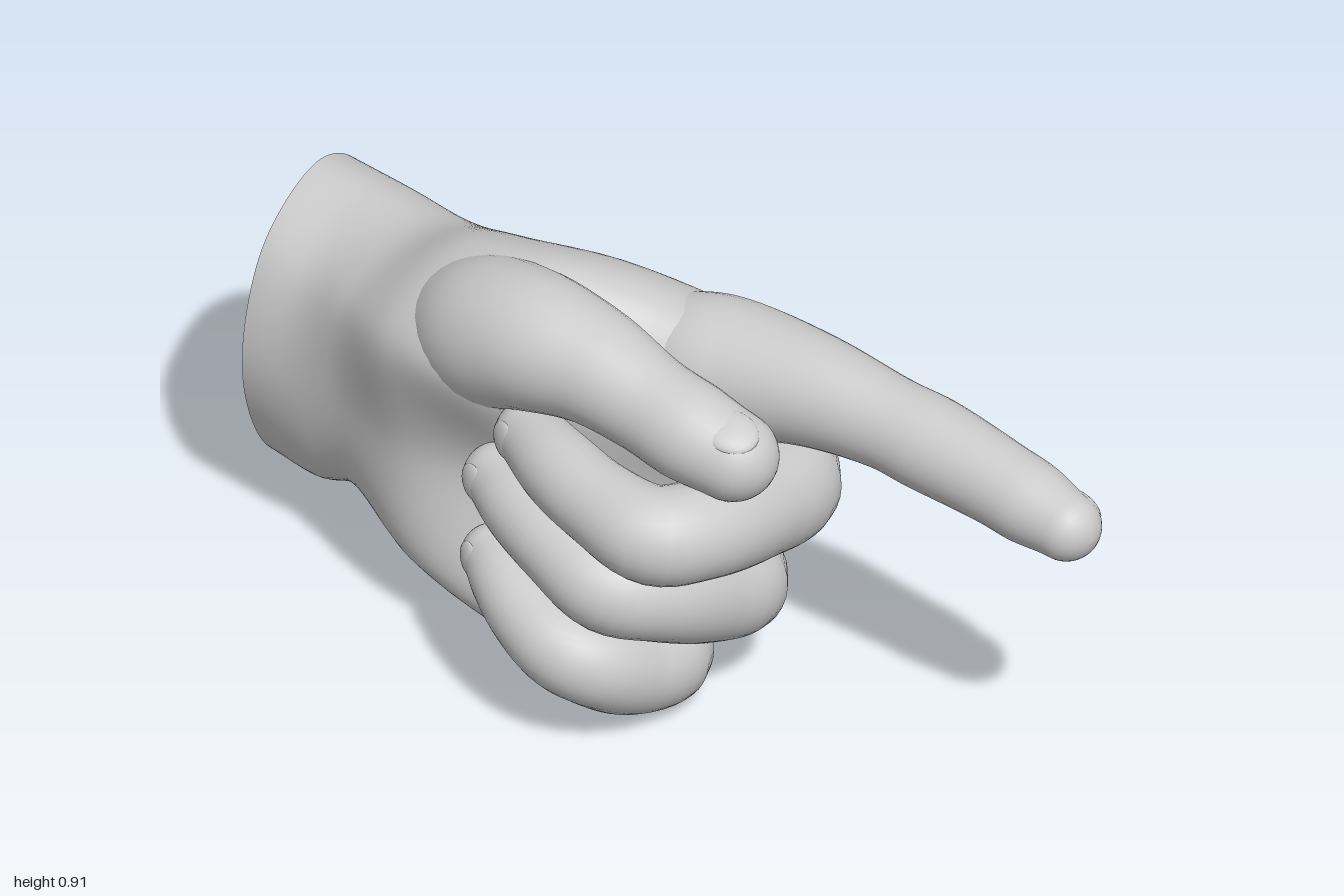
import * as THREE from 'three';

const V = (x, y, z) => new THREE.Vector3(x, y, z);
const skin = new THREE.MeshStandardMaterial({ color: 0xcccccc, roughness: 0.8 });

function part(name, geometry) {
  const mesh = new THREE.Mesh(geometry, skin);
  mesh.name = name;
  return mesh;
}

// Skin over a list of closed rings with equal point counts
function loft(rings) {
  const n = rings[0].length, pos = [], idx = [];
  rings.forEach(ring => ring.forEach(p => pos.push(p.x, p.y, p.z)));
  for (let i = 0; i < rings.length - 1; i++) {
    for (let j = 0; j < n; j++) {
      const a = i * n + j, b = i * n + (j + 1) % n;
      idx.push(a, b, a + n, b, b + n, a + n);
    }
  }
  const g = new THREE.BufferGeometry();
  g.setAttribute('position', new THREE.Float32BufferAttribute(pos, 3));
  g.setIndex(idx);
  g.computeVertexNormals();
  return g;
}

const centroid = ring => ring.reduce((s, p) => s.add(p), V(0, 0, 0)).divideScalar(ring.length);

// Finger: round tube through [x, y, z, radius] joints, domed at both ends
function finger(name, joints, nailNormal) {
  const curve = new THREE.CatmullRomCurve3(joints.map(j => V(j[0], j[1], j[2])));
  const radii = new THREE.SplineCurve(joints.map((j, i) => new THREE.Vector2(i, j[3])));
  const rings = [], steps = 48, sides = 32, dome = 9;
  const addRing = (t, push, squeeze) => {
    const r = radii.getPoint(t).y, d = curve.getTangent(t);
    const c = curve.getPoint(t).addScaledVector(d, push * r);
    const side = d.clone().cross(V(0, 1, 0)).normalize(), up = side.clone().cross(d);
    const ring = [];
    for (let k = 0; k < sides; k++) {
      const a = k / sides * Math.PI * 2;
      ring.push(c.clone().addScaledVector(up, Math.cos(a) * r * squeeze)
        .addScaledVector(side, Math.sin(a) * r * squeeze));
    }
    rings.push(ring);
  };
  for (let i = dome; i > 0; i--) {
    const a = i / dome * Math.PI / 2;
    addRing(0, -Math.sin(a), Math.cos(a));
  }
  for (let i = 0; i <= steps; i++) addRing(i / steps, 0, 1);
  for (let i = 1; i <= dome; i++) {
    const a = i / dome * Math.PI / 2;
    addRing(1, Math.sin(a), Math.cos(a));
  }
  const group = new THREE.Group();
  group.name = name;
  group.add(part(name + 'Flesh', loft(rings)));

  // Thin nail sunk into the back of the last joint
  const r = joints[joints.length - 1][3], d = curve.getTangent(1);
  const n = V(...nailNormal).addScaledVector(d, -V(...nailNormal).dot(d)).normalize();
  const nail = part(name + 'Nail', new THREE.SphereGeometry(1, 20, 14));
  nail.quaternion.setFromRotationMatrix(new THREE.Matrix4().makeBasis(d, n.clone().cross(d), n));
  nail.position.copy(curve.getPoint(1)).addScaledVector(n, r * 0.82).addScaledVector(d, -r * 0.1);
  nail.scale.set(r * 0.65, r * 0.55, r * 0.21);
  group.add(nail);
  return group;
}

// Hand body cross-sections: x, shear of x by z, then [y, z] points from the
// top over the palm side, bottom and back of the hand
const sections = [
  [-0.935, 0.27, [0.72, 0], [0.63, 0.19], [0.38, 0.265], [0.14, 0.17], [0.08, 0], [0.18, -0.15], [0.42, -0.205], [0.64, -0.14]],
  [-0.78, 0.15, [0.715, -0.02], [0.62, 0.19], [0.38, 0.255], [0.14, 0.17], [0.095, -0.02], [0.17, -0.14], [0.42, -0.185], [0.64, -0.15]],
  [-0.62, 0, [0.73, 0], [0.65, 0.22], [0.42, 0.25], [0.2, 0.195], [0.14, 0.03], [0.22, -0.13], [0.45, -0.19], [0.66, -0.14]],
  [-0.4, 0, [0.835, 0.08], [0.7, 0.295], [0.42, 0.26], [0.15, 0.24], [0.08, 0.08], [0.22, -0.13], [0.48, -0.215], [0.7, -0.15]],
  [-0.2, 0, [0.865, 0.07], [0.7, 0.275], [0.4, 0.16], [0.11, 0.22], [0.025, 0.09], [0.22, -0.145], [0.5, -0.25], [0.74, -0.195]],
  [0, 0, [0.805, -0.06], [0.66, 0.07], [0.36, 0.03], [0.1, 0.17], [0.004, 0.09], [0.22, -0.175], [0.51, -0.285], [0.74, -0.245]],
  [0.1, 0, [0.785, -0.12], [0.63, 0], [0.35, -0.03], [0.1, 0.13], [0.015, 0.08], [0.22, -0.18], [0.5, -0.295], [0.73, -0.265]],
  [0.17, 0, [0.75, -0.15], [0.62, -0.05], [0.4, -0.06], [0.16, 0.07], [0.08, 0.05], [0.25, -0.155], [0.5, -0.26], [0.68, -0.24]],
];

// Raised ridges on the back: from, to, width, height
const ridges = [
  [V(-0.82, 0.22, -0.15), V(-0.78, 0.22, -0.15), 0.1, 0.04], // wrist bone
  [V(-0.4, 0.58, -0.19), V(0.05, 0.68, -0.27), 0.05, 0.007], // tendons
  [V(-0.4, 0.48, -0.21), V(0.05, 0.47, -0.29), 0.05, 0.008],
  [V(-0.4, 0.38, -0.2), V(0.03, 0.26, -0.19), 0.05, 0.008],
];

function bodyRings() {
  const columns = [];
  for (let k = 2; k < 10; k++) {
    columns.push(new THREE.CatmullRomCurve3(sections.map(s =>
      V(s[0] + s[1] * (s[k][1] - 0.03), s[k][0], s[k][1]))));
  }
  const rings = [], steps = 70, sides = 96;
  for (let i = 0; i <= steps; i++) {
    const loop = new THREE.CatmullRomCurve3(columns.map(c => c.getPoint(i / steps)), true);
    const ring = Array.from({ length: sides }, (_, k) => loop.getPoint(k / sides));
    const c = centroid(ring);
    rings.push(ring.map(p => {
      const out = p.clone().sub(c).setX(0).normalize();
      const lift = ridges.reduce((sum, [a, b, w, h]) => {
        const near = new THREE.Line3(a, b).closestPointToPoint(p, true, V(0, 0, 0));
        return sum + h * Math.exp(-near.distanceToSquared(p) / (w * w));
      }, 0);
      return p.clone().addScaledVector(out, lift);
    }));
  }
  // Rounded closing over the knuckle row
  const last = rings[steps], c = centroid(last);
  for (let i = 1; i <= 8; i++) {
    const a = i / 8 * Math.PI / 2;
    rings.push(last.map(p => p.clone().lerp(c, 1 - Math.cos(a)).add(V(0.08 * Math.sin(a), 0, 0))));
  }
  return rings;
}

export function createModel() {
  const hand = new THREE.Group();
  hand.name = 'pointingHand';

  // Wrist, palm and back of the hand, with the flat slanted cut
  const rings = bodyRings(), c = centroid(rings[0]);
  hand.add(part('palmAndWrist', loft(rings)));
  hand.add(part('wristCut', loft([rings[0].map(() => c.clone()), rings[0]])));

  // Thumb lying over the fist, pointing finger, three curled fingers
  hand.add(finger('thumb', [
    [-0.5, 0.6, 0.06, 0.1], [-0.28, 0.71, 0.145, 0.15], [-0.12, 0.765, 0.155, 0.142],
    [0.02, 0.765, 0.13, 0.12], [0.16, 0.735, 0.108, 0.102], [0.27, 0.712, 0.09, 0.102],
    [0.36, 0.688, 0.062, 0.092]], [0.2, 0.9, 0.25]));
  hand.add(finger('indexFinger', [
    [-0.12, 0.67, -0.09, 0.1], [0.03, 0.672, -0.135, 0.135], [0.13, 0.677, -0.172, 0.136],
    [0.3, 0.69, -0.215, 0.114], [0.47, 0.685, -0.25, 0.096], [0.58, 0.675, -0.272, 0.097],
    [0.75, 0.66, -0.294, 0.088], [0.84, 0.648, -0.305, 0.085], [0.93, 0.637, -0.313, 0.071]],
  [0, 0.35, -0.9]));
  hand.add(finger('middleFinger', [
    [-0.06, 0.47, -0.14, 0.1], [0.1, 0.46, -0.185, 0.113], [0.21, 0.45, -0.195, 0.124],
    [0.285, 0.485, -0.05, 0.113], [0.33, 0.525, 0.12, 0.102], [0.3, 0.54, 0.22, 0.101],
    [0.17, 0.56, 0.245, 0.088], [0.04, 0.575, 0.235, 0.082], [-0.09, 0.58, 0.2, 0.07]],
  [-0.2, 0.1, 1]));
  hand.add(finger('ringFinger', [
    [-0.08, 0.28, -0.03, 0.09], [0.06, 0.245, -0.085, 0.105], [0.17, 0.23, -0.11, 0.11],
    [0.21, 0.275, 0.01, 0.107], [0.222, 0.335, 0.14, 0.102], [0.18, 0.37, 0.235, 0.097],
    [0.06, 0.41, 0.255, 0.085], [-0.07, 0.435, 0.24, 0.079], [-0.17, 0.448, 0.215, 0.068]],
  [-0.2, 0.1, 1]));
  hand.add(finger('littleFinger', [
    [-0.08, 0.13, 0.06, 0.09], [0.04, 0.11, 0.04, 0.1], [0.13, 0.105, 0.045, 0.103],
    [0.155, 0.135, 0.16, 0.1], [0.155, 0.185, 0.25, 0.093], [0.11, 0.215, 0.293, 0.089],
    [0.02, 0.25, 0.3, 0.08], [-0.07, 0.28, 0.28, 0.072], [-0.14, 0.295, 0.255, 0.062]],
  [-0.2, 0.1, 1]));
  return hand;
}
